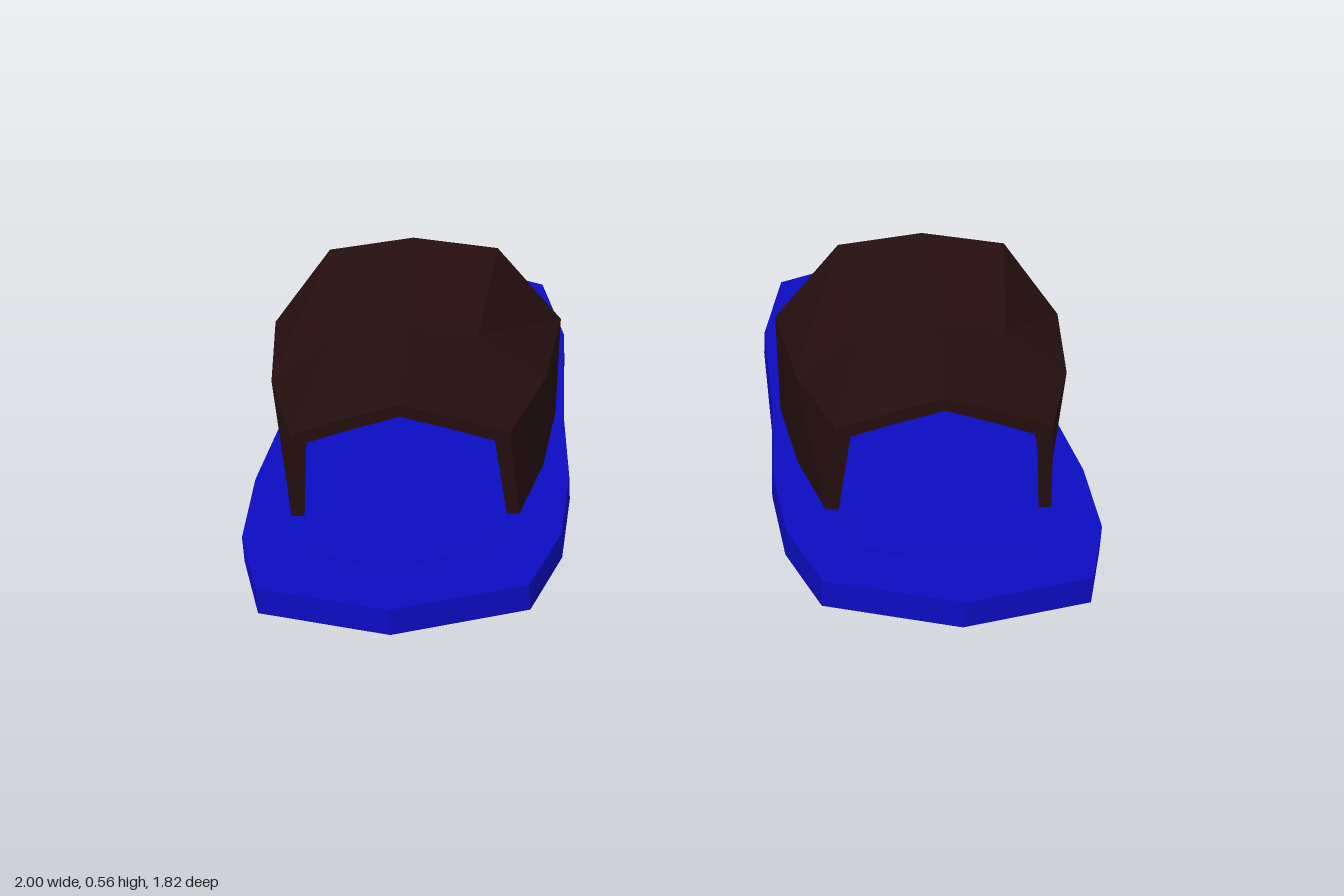
import * as THREE from 'three';

const blue = new THREE.MeshStandardMaterial({ color: 0x0c0cc0, flatShading: true });
blue.name = 'blue foam';
const brown = new THREE.MeshStandardMaterial({ color: 0x240e0e, flatShading: true });
brown.name = 'dark brown leather';

const SOLE_TOP = 0.065;

// Half outlines as [half width, z], heel tip to toe tip
const soleOutline = [[0, -0.91], [0.275, -0.745], [0.345, -0.42], [0.355, 0.03],
  [0.377, 0.35], [0.365, 0.61], [0.3, 0.82], [0, 0.91]];
const insoleOutline = [[0, -0.755], [0.155, -0.665], [0.208, -0.4], [0.215, 0],
  [0.23, 0.35], [0.222, 0.58], [0.2, 0.7], [0, 0.728]];

// Flat slab from a mirrored half outline
function slab(half, y, height) {
  const mirrored = half.slice(1, -1).reverse().map(([x, z]) => [-x, z]);
  const points = [...half, ...mirrored].map(([x, z]) => new THREE.Vector2(x, -z));
  const geo = new THREE.ExtrudeGeometry(new THREE.Shape(points), { depth: height, bevelEnabled: false });
  return geo.rotateX(-Math.PI / 2).translate(0, y, 0);
}

// Strap sections, back to front: half profiles [x, y] from base to crown
const strapSections = [
  { z: 0.03, outer: [[0.335, SOLE_TOP], [0.355, 0.33], [0.205, 0.525], [0, 0.555]],
    inner: [[0.305, SOLE_TOP], [0.323, 0.32], [0.19, 0.495], [0, 0.525]] },
  { z: 0.3, outer: [[0.312, SOLE_TOP], [0.325, 0.305], [0.17, 0.418], [0, 0.445]],
    inner: [[0.282, SOLE_TOP], [0.293, 0.29], [0.16, 0.388], [0, 0.415]] },
  { z: 0.52, outer: [[0.265, SOLE_TOP], [0.25, 0.28], [0.125, 0.322], [0, 0.355]],
    inner: [[0.235, SOLE_TOP], [0.215, 0.26], [0.115, 0.292], [0, 0.325]] },
];

// Closed arch loft with thickness and end rims
function strapGeometry() {
  const arch = half => [...half, ...half.slice(0, -1).reverse().map(([x, y]) => [-x, y])];
  const rings = strapSections.map(s => [...arch(s.outer), ...arch(s.inner).reverse()]);
  const n = rings[0].length;
  const positions = [];
  rings.forEach((ring, i) => ring.forEach(([x, y]) => positions.push(x, y, strapSections[i].z)));

  const index = [];
  const quad = (a, b, c, d) => index.push(a, b, c, a, c, d);
  for (let i = 0; i < rings.length - 1; i++) {
    for (let j = 0; j < n; j++) {
      const k = (j + 1) % n;
      quad(i * n + j, i * n + k, (i + 1) * n + k, (i + 1) * n + j);
    }
  }
  const front = (rings.length - 1) * n;
  for (let j = 0; j < n / 2 - 1; j++) {
    quad(front + j, front + j + 1, front + n - 2 - j, front + n - 1 - j);
    quad(n - 1 - j, n - 2 - j, j + 1, j);
  }

  const geo = new THREE.BufferGeometry();
  geo.setAttribute('position', new THREE.Float32BufferAttribute(positions, 3));
  geo.setIndex(index);
  const flat = geo.toNonIndexed();
  flat.computeVertexNormals();
  return flat;
}

export function createModel() {
  const model = new THREE.Group();
  model.name = 'pair of slide sandals';
  const parts = [
    ['sole', slab(soleOutline, 0, SOLE_TOP), blue],
    ['insole', slab(insoleOutline, SOLE_TOP, 0.002), blue],
    ['strap', strapGeometry(), brown],
  ];
  for (const [name, x] of [['leftSandal', 0.623], ['rightSandal', -0.623]]) {
    const sandal = new THREE.Group();
    sandal.name = name;
    sandal.position.x = x;
    for (const [part, geometry, material] of parts) {
      const mesh = new THREE.Mesh(geometry, material);
      mesh.name = part;
      sandal.add(mesh);
    }
    model.add(sandal);
  }
  return model;
}
